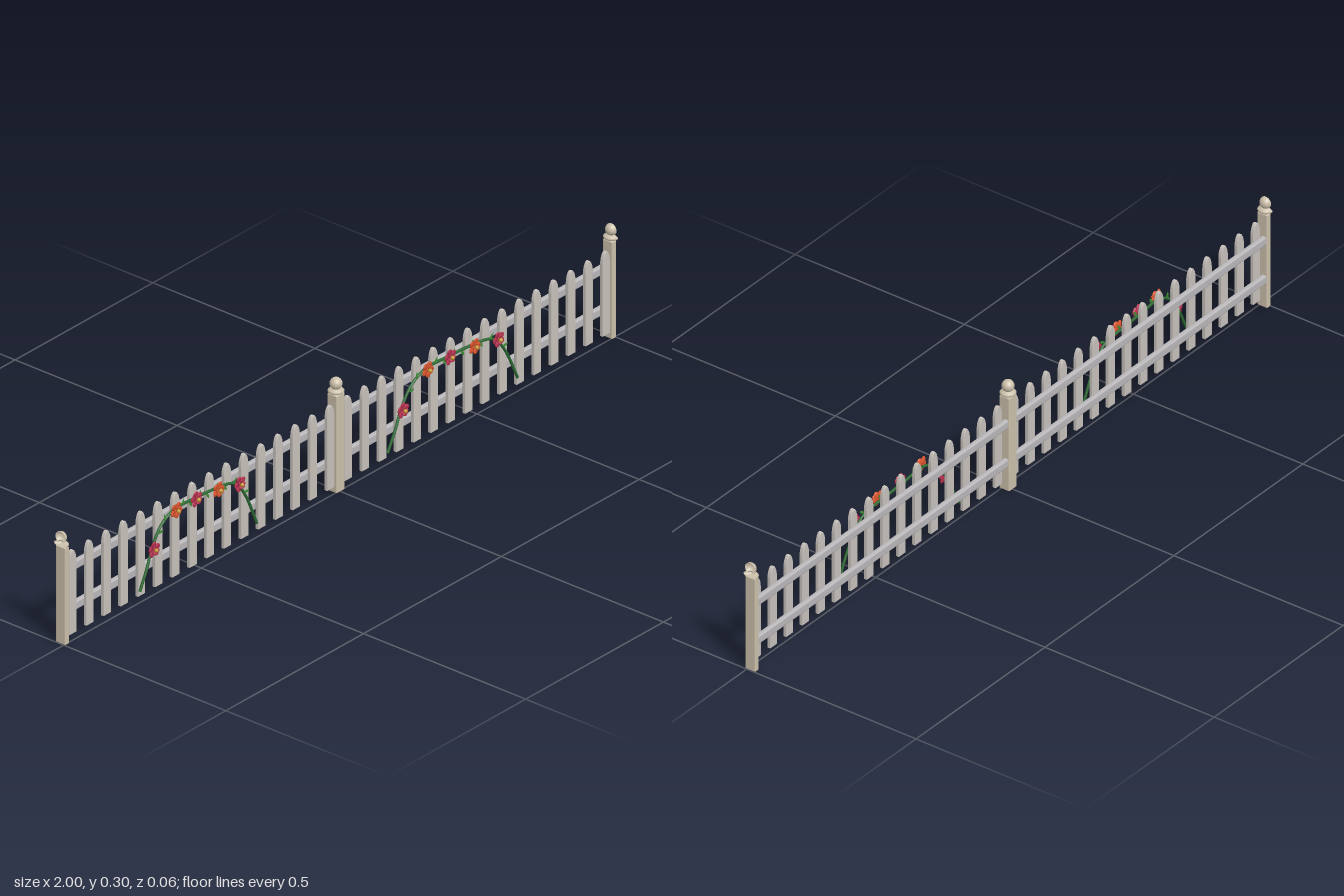
import * as THREE from 'three';
import { RoundedBoxGeometry } from 'three/addons/geometries/RoundedBoxGeometry.js';

const mat = (color, side = THREE.FrontSide) =>
  new THREE.MeshStandardMaterial({ color, side });

const postMat = mat(0xcbbfaa, THREE.DoubleSide);
const picketMat = mat(0xc6c0ba);
const railMat = mat(0xb9b7b9);
const vineMat = mat(0x2c6b34);
const leafMat = mat(0x3f8f35, THREE.DoubleSide);
const redMat = mat(0xb8304f);
const orangeMat = mat(0xd9532b);
const goldMat = mat(0xc79a35);

function add(parent, name, geometry, material, x = 0, y = 0, z = 0) {
  const mesh = new THREE.Mesh(geometry, material);
  mesh.name = name;
  mesh.position.set(x, y, z);
  parent.add(mesh);
  return mesh;
}

// Post with flared collar and ball; side 0 is a whole post, -1 / +1 a half post at that end
function makePost(side) {
  const post = new THREE.Group();
  post.name = side === 0 ? 'middlePost' : 'endPost';
  post.position.set(side, 0, -0.01);
  const width = side === 0 ? 0.03 : 0.015;
  add(post, 'postShaft', new RoundedBoxGeometry(width, 0.26, 0.03, 3, 0.003), postMat, -side * 0.0075, 0.13, 0);

  const profile = [[0, 0.259], [0.012, 0.259], [0.018, 0.262], [0.0205, 0.266], [0.018, 0.269], [0.012, 0.272], [0.007, 0.275]]
    .map(([r, y]) => new THREE.Vector2(r, y));
  for (let i = 0; i <= 12; i++) {
    const a = -1.1 + (i / 12) * (1.1 + Math.PI / 2);
    profile.push(new THREE.Vector2(Math.max(0, 0.0155 * Math.cos(a)), 0.2845 + 0.0155 * Math.sin(a)));
  }
  const start = side > 0 ? Math.PI : 0;
  const sweep = side === 0 ? Math.PI * 2 : Math.PI;
  add(post, 'postFinial', new THREE.LatheGeometry(profile, 24, start, sweep), postMat);
  return post;
}

// Picket outline with a curved point
function picketGeometry() {
  const w = 0.0115;
  const s = new THREE.Shape();
  s.moveTo(-w, 0.02);
  s.lineTo(w, 0.02);
  s.lineTo(w, 0.212);
  s.quadraticCurveTo(w * 0.9, 0.23, 0.003, 0.2385);
  s.quadraticCurveTo(0, 0.24, -0.003, 0.2385);
  s.quadraticCurveTo(-w * 0.9, 0.23, -w, 0.212);
  s.closePath();
  const g = new THREE.ExtrudeGeometry(s, {
    depth: 0.007, bevelEnabled: true, bevelThickness: 0.0015, bevelSize: 0.0015, bevelSegments: 2, curveSegments: 6,
  });
  g.translate(0, 0, -0.0065);
  return g;
}

// Flower: two rings of cupped petals and a gold centre
const petalGeo = new THREE.SphereGeometry(1, 10, 8);
petalGeo.scale(0.0085, 0.0095, 0.003);
const centreGeo = new THREE.SphereGeometry(0.0052, 12, 8);

function makeFlower(material) {
  const flower = new THREE.Group();
  flower.name = 'flower';
  [[5, 0.0115, 0, 0.25], [5, 0.0065, 0.004, 0.6]].forEach(([count, radius, z, tilt], ring) => {
    for (let i = 0; i < count; i++) {
      const arm = new THREE.Group();
      arm.name = 'petalArm';
      arm.rotation.z = ((i + ring / 2) / count) * Math.PI * 2;
      const petal = add(arm, 'petal', petalGeo, material, 0, radius, z);
      petal.rotation.x = tilt;
      if (ring) petal.scale.setScalar(0.75);
      flower.add(arm);
    }
  });
  add(flower, 'flowerCentre', centreGeo, goldMat, 0, 0, 0.0085);
  return flower;
}

// Pointed leaf, folded along its midrib
function leafGeometry() {
  const s = new THREE.Shape();
  s.moveTo(0, 0);
  s.quadraticCurveTo(0.009, 0.009, 0, 0.024);
  s.quadraticCurveTo(-0.009, 0.009, 0, 0);
  const g = new THREE.ShapeGeometry(s, 6);
  const p = g.attributes.position;
  for (let i = 0; i < p.count; i++) p.setZ(i, Math.abs(p.getX(i)) * 0.5);
  g.computeVertexNormals();
  return g;
}
const leafGeo = leafGeometry();

// Arched flowering vine, laid out from x = 0 to x = 0.47 and stretched by sx
function makeVine(x0, sx) {
  const vine = new THREE.Group();
  vine.name = 'floweringVine';
  const path = new THREE.CatmullRomCurve3([
    [0, 0.036], [0.025, 0.085], [0.05, 0.13], [0.085, 0.18], [0.134, 0.205], [0.22, 0.203],
    [0.305, 0.198], [0.36, 0.192], [0.394, 0.175], [0.43, 0.13], [0.47, 0.045],
  ].map(([x, y], i) => new THREE.Vector3(x0 + x * sx, y, 0.008 + 0.0015 * Math.sin(i * 2))));
  add(vine, 'vineStem', new THREE.TubeGeometry(path, 60, 0.0036, 8), vineMat);

  [[0.048, 0.133], [0.134, 0.207], [0.219, 0.205], [0.304, 0.199], [0.394, 0.18]].forEach(([x, y], i) => {
    const flower = makeFlower(i % 2 ? orangeMat : redMat);
    flower.position.set(x0 + x * sx, y, i % 2 ? 0.017 : 0.014);
    flower.rotation.z = i * 0.7;
    vine.add(flower);
  });

  // Leaves alternate along the upper part of the stem
  for (let i = 0; i < 12; i++) {
    const t = 0.24 + i * 0.052;
    const p = path.getPointAt(t);
    const d = path.getTangentAt(t);
    const leaf = add(vine, 'leaf', leafGeo, leafMat, p.x, p.y, p.z + 0.002);
    leaf.rotation.z = Math.atan2(d.y, d.x) - Math.PI / 2 + (i % 2 ? 0.9 : -0.9);
    leaf.scale.setScalar(0.85);
  }
  return vine;
}

export function createModel() {
  const fence = new THREE.Group();
  fence.name = 'picketFence';

  for (const side of [-1, 0, 1]) fence.add(makePost(side));

  const pickets = picketGeometry();
  const railGeo = new RoundedBoxGeometry(0.98, 0.024, 0.014, 3, 0.005);
  for (const side of [-1, 1]) {
    const panel = new THREE.Group();
    panel.name = side < 0 ? 'rightPanel' : 'leftPanel';
    for (const y of [0.079, 0.187]) add(panel, 'rail', railGeo, railMat, side * 0.5, y, -0.0155);
    for (let i = 0; i < 16; i++) add(panel, 'picket', pickets, picketMat, side * (0.032 + i * 0.0624));
    fence.add(panel);
  }

  fence.add(makeVine(-0.733, 0.9), makeVine(0.166, 1));
  return fence;
}
